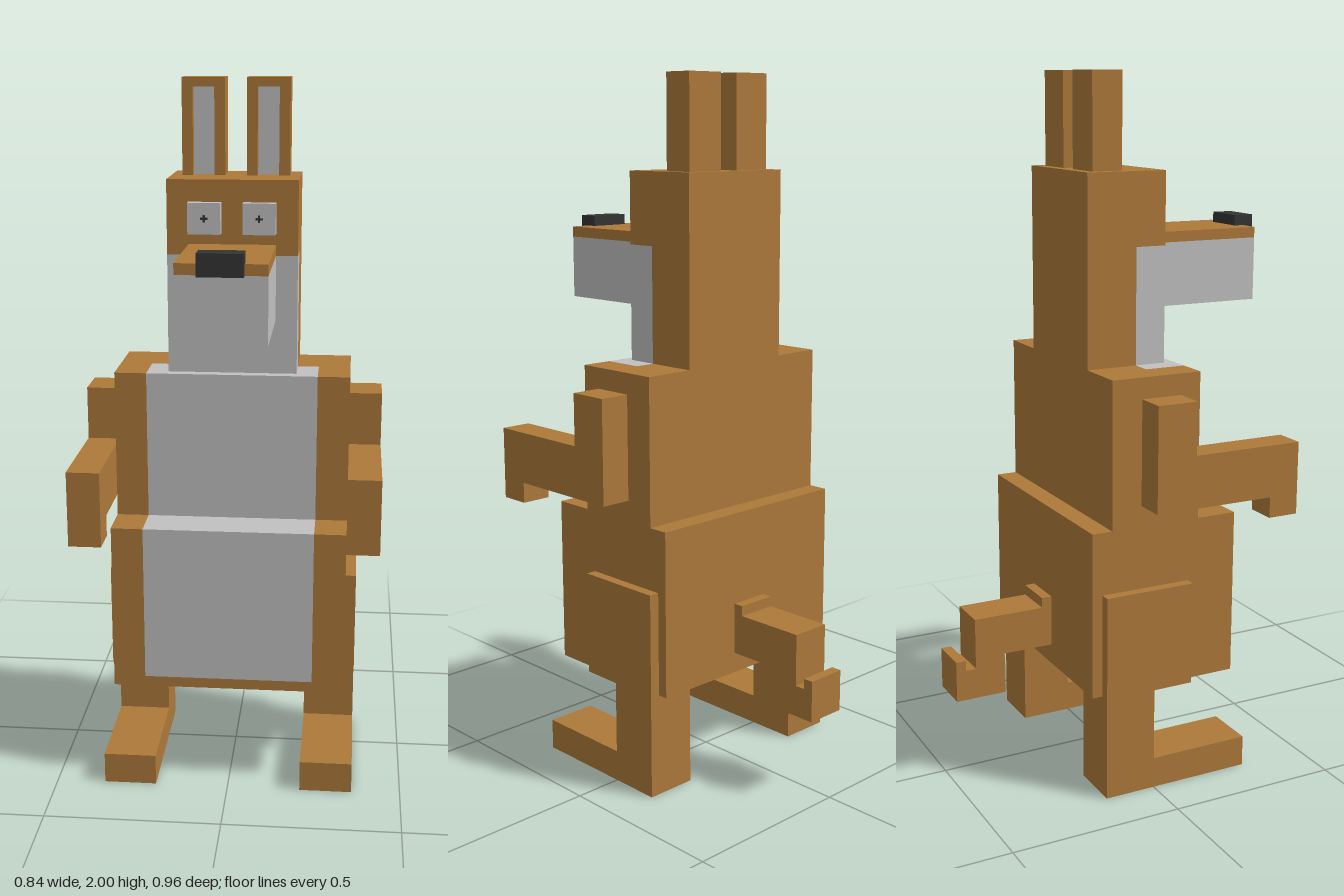
import * as THREE from 'three';

function material(name, color) {
  const m = new THREE.MeshStandardMaterial({ color });
  m.name = name;
  return m;
}

export function createModel() {
  const fur = material('brown fur', 0xad793a);
  const pale = material('pale grey fur', 0xc1c1c1);
  const dark = material('dark nose', 0x343434);

  const model = new THREE.Group();
  model.name = 'blockKangaroo';

  function part(name, parent = model) {
    const g = new THREE.Group();
    g.name = name;
    parent.add(g);
    return g;
  }

  // Box given by its x, y and z ranges
  function block(parent, name, mat, [x0, x1], [y0, y1], [z0, z1]) {
    const mesh = new THREE.Mesh(new THREE.BoxGeometry(x1 - x0, y1 - y0, z1 - z0), mat);
    mesh.position.set((x0 + x1) / 2, (y0 + y1) / 2, (z0 + z1) / 2);
    mesh.name = name;
    parent.add(mesh);
  }

  // The same box on both sides of the body
  function pair(parent, name, mat, [x0, x1], y, z) {
    block(parent, name + 'Left', mat, [x0, x1], y, z);
    block(parent, name + 'Right', mat, [-x1, -x0], y, z);
  }

  // Hips with the pale belly set between brown sides
  const hips = part('hips');
  block(hips, 'hipsBack', fur, [-0.33, 0.33], [0.3, 0.78], [-0.18, 0.15]);
  pair(hips, 'hipsSide', fur, [0.24, 0.33], [0.3, 0.78], [0.15, 0.27]);
  block(hips, 'hipsBottom', fur, [-0.24, 0.24], [0.3, 0.33], [0.15, 0.27]);
  block(hips, 'belly', pale, [-0.24, 0.24], [0.33, 0.78], [0.15, 0.27]);

  // Chest
  const chest = part('chest');
  block(chest, 'chestBack', fur, [-0.33, 0.33], [0.78, 1.2], [-0.12, 0.03]);
  pair(chest, 'chestSide', fur, [0.24, 0.33], [0.78, 1.2], [0.03, 0.15]);
  block(chest, 'chestFront', pale, [-0.24, 0.24], [0.78, 1.2], [0.03, 0.15]);

  // Head and neck
  const head = part('head');
  block(head, 'crown', fur, [-0.18, 0.18], [1.53, 1.735], [-0.12, 0.12]);
  block(head, 'neckBack', fur, [-0.18, 0.18], [1.2, 1.53], [-0.12, 0.03]);
  block(head, 'throat', pale, [-0.18, 0.18], [1.2, 1.53], [0.03, 0.12]);

  // Snout and nose
  block(head, 'snoutTop', fur, [-0.12, 0.12], [1.53, 1.56], [0.12, 0.45]);
  block(head, 'snout', pale, [-0.12, 0.12], [1.35, 1.53], [0.12, 0.45]);
  block(head, 'nose', dark, [-0.06, 0.06], [1.53, 1.59], [0.42, 0.48]);

  // Eyes with tiny pupils
  pair(head, 'eye', pale, [0.03, 0.12], [1.59, 1.675], [0.12, 0.15]);
  pair(head, 'pupilBar', dark, [0.065, 0.085], [1.63, 1.636], [0.15, 0.152]);
  pair(head, 'pupilPost', dark, [0.072, 0.078], [1.623, 1.643], [0.15, 0.152]);

  // Ears with a recessed pale inside
  const ears = part('ears');
  pair(ears, 'earBack', fur, [0.03, 0.15], [1.735, 2], [-0.09, -0.03]);
  pair(ears, 'earInnerRim', fur, [0.03, 0.06], [1.735, 2], [-0.03, 0]);
  pair(ears, 'earOuterRim', fur, [0.12, 0.15], [1.735, 2], [-0.03, 0]);
  pair(ears, 'earTip', fur, [0.06, 0.12], [1.975, 2], [-0.03, 0]);
  pair(ears, 'earInside', pale, [0.06, 0.12], [1.735, 1.975], [-0.03, -0.026]);

  // Arms
  const arms = part('arms');
  pair(arms, 'upperArm', fur, [0.33, 0.42], [0.84, 1.14], [-0.03, 0.09]);
  pair(arms, 'forearm', fur, [0.33, 0.42], [0.84, 0.99], [0.09, 0.42]);
  pair(arms, 'hand', fur, [0.33, 0.42], [0.78, 0.84], [0.33, 0.42]);

  // Legs
  const legs = part('legs');
  pair(legs, 'thigh', fur, [0.33, 0.36], [0.3, 0.6], [-0.15, 0.12]);
  pair(legs, 'shin', fur, [0.21, 0.36], [0, 0.3], [-0.15, 0]);
  pair(legs, 'foot', fur, [0.21, 0.36], [0, 0.09], [0, 0.3]);

  // Stepped tail
  const tail = part('tail');
  const tailSteps = [
    ['tailRoot', [0.36, 0.51], [-0.21, -0.18]],
    ['tailMiddle', [0.36, 0.48], [-0.42, -0.21]],
    ['tailDrop', [0.24, 0.36], [-0.42, -0.33]],
    ['tailEnd', [0.24, 0.33], [-0.48, -0.42]],
    ['tailTip', [0.33, 0.36], [-0.48, -0.45]],
  ];
  for (const [name, y, z] of tailSteps) block(tail, name, fur, [-0.06, 0.06], y, z);

  return model;
}
